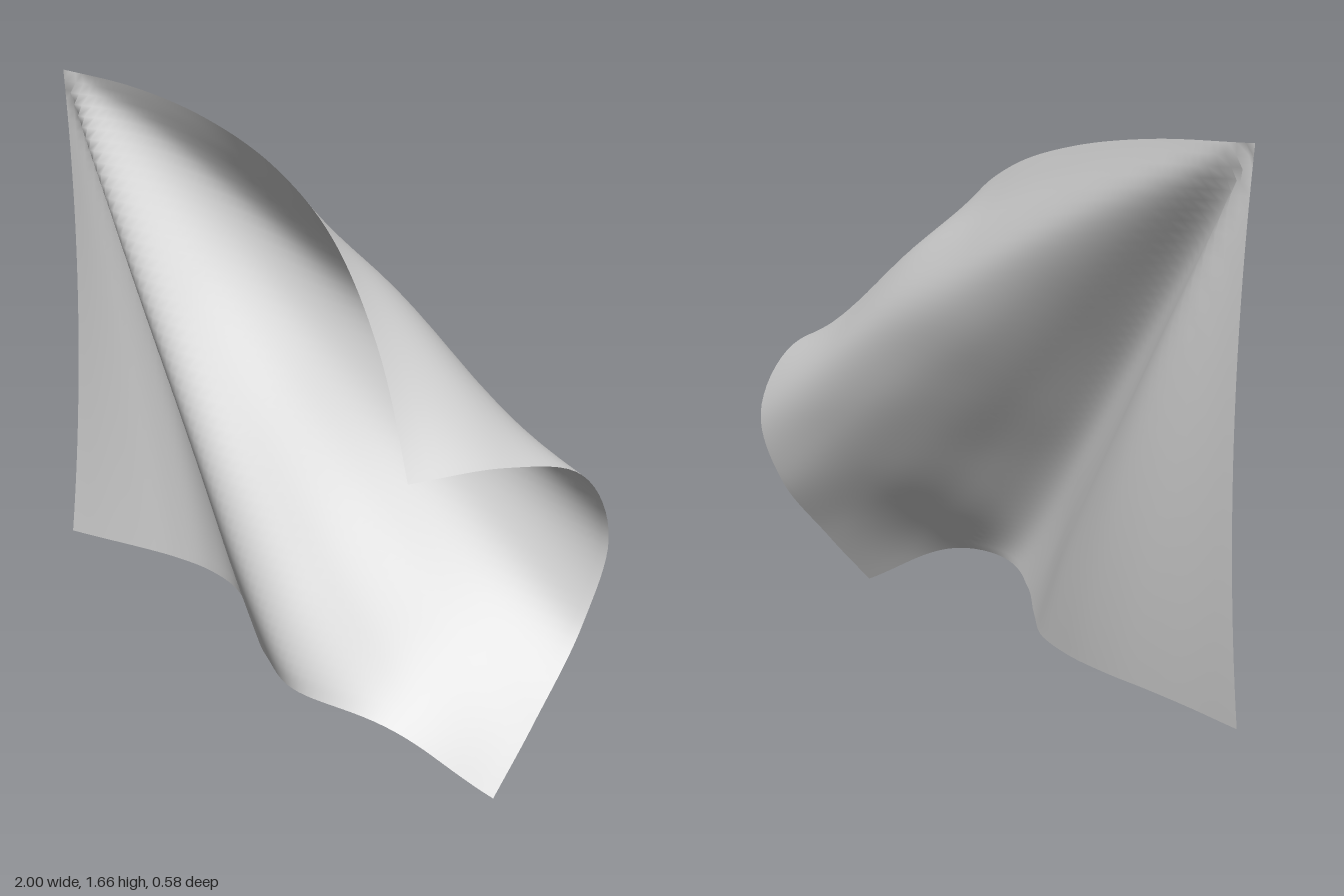
import * as THREE from 'three';

const LENGTH = 2.15, DROP = 1.43, CORNER_Z = 0.055;

// Ribs of the cloth from the hoist (-x) to the fly (+x), each listed from top to bottom as x, y
const ribs = [
  [[-1, 1.66], [-1, 1.42], [-1, 1.185], [-1, 0.95], [-1, 0.71], [-1, 0.47], [-1, 0.235]],
  [[-0.645, 1.625], [-0.65, 1.4], [-0.65, 1.17], [-0.65, 0.94], [-0.65, 0.71], [-0.65, 0.475], [-0.65, 0.24]],
  [[-0.29, 1.56], [-0.29, 1.335], [-0.3, 1.115], [-0.3, 0.895], [-0.3, 0.675], [-0.3, 0.45], [-0.31, 0.23]],
  [[0.05, 1.46], [0.05, 1.26], [0.04, 1.035], [0.035, 0.82], [0.03, 0.615], [0.02, 0.405], [0.01, 0.2]],
  [[0.36, 1.31], [0.38, 1.19], [0.38, 0.98], [0.36, 0.76], [0.35, 0.56], [0.34, 0.365], [0.33, 0.18]],
  [[0.635, 1.08], [0.69, 1.025], [0.71, 0.86], [0.69, 0.66], [0.67, 0.47], [0.665, 0.31], [0.68, 0.155]],
  [[0.87, 0.81], [0.965, 0.835], [1, 0.79], [0.965, 0.6], [0.935, 0.39], [0.94, 0.2], [0.945, 0]],
];

// Folds fan out from the top of the hoist, one every 6 degrees from the top edge
// to the hoist: z where the fold meets the far edge, and its sag on the way
const folds = [
  [0.29, 0.46], [0.08, 0.29], [-0.135, 0.13], [-0.28, 0.02], [-0.235, 0], [-0.065, 0],
  [0.15, -0.06], [0.285, -0.1], [0.2, -0.08], [0.085, 0], [-0.01, 0.12], [-0.04, 0.2],
  [-0.03, 0.18], [0, 0.15], [0.03, 0.14], [0.055, 0.14],
];

const spline = (points) => new THREE.CatmullRomCurve3(points, false, 'catmullrom', 0.5);

// Slope and curvature of the folds by angle
const foldCurve = spline(folds.map(([z, sag], i) => {
  const angle = (i / (folds.length - 1)) * Math.PI / 2;
  const reach = Math.min(LENGTH / Math.cos(angle), DROP / Math.max(Math.sin(angle), 1e-6));
  return new THREE.Vector3((z - CORNER_Z - sag) / reach, sag / reach ** 2, 0);
}));

// Depth of the cloth at a distance along and down from the top of the hoist
function depth(along, down) {
  const r = Math.hypot(along, down);
  const fold = foldCurve.getPoint(Math.atan2(down, along) / (Math.PI / 2));
  return CORNER_Z + r * (fold.x + r * fold.y);
}

export function createModel() {
  const group = new THREE.Group();
  group.name = 'wavingFlag';

  // Curves along the length, one through each level of the ribs
  const lengthCurves = ribs[0].map((_, row) => spline(ribs.map((rib) => new THREE.Vector3(...rib[row], 0))));

  // Plane bent onto the ribs and folds
  const columns = 72, rows = 48;
  const geometry = new THREE.PlaneGeometry(1, 1, columns, rows);
  const position = geometry.attributes.position;
  for (let i = 0; i <= columns; i++) {
    const u = i / columns;
    const rib = spline(lengthCurves.map((curve) => curve.getPoint(u)));
    for (let j = 0; j <= rows; j++) {
      const v = j / rows;
      const p = rib.getPoint(v);
      position.setXYZ(j * (columns + 1) + i, p.x, p.y, depth(u * LENGTH, v * DROP));
    }
  }
  geometry.computeVertexNormals();

  // Thin cloth, seen from both sides
  const cloth = new THREE.Mesh(
    geometry,
    new THREE.MeshStandardMaterial({ color: 0xcccccc, side: THREE.DoubleSide }),
  );
  cloth.name = 'flagCloth';
  group.add(cloth);
  return group;
}
